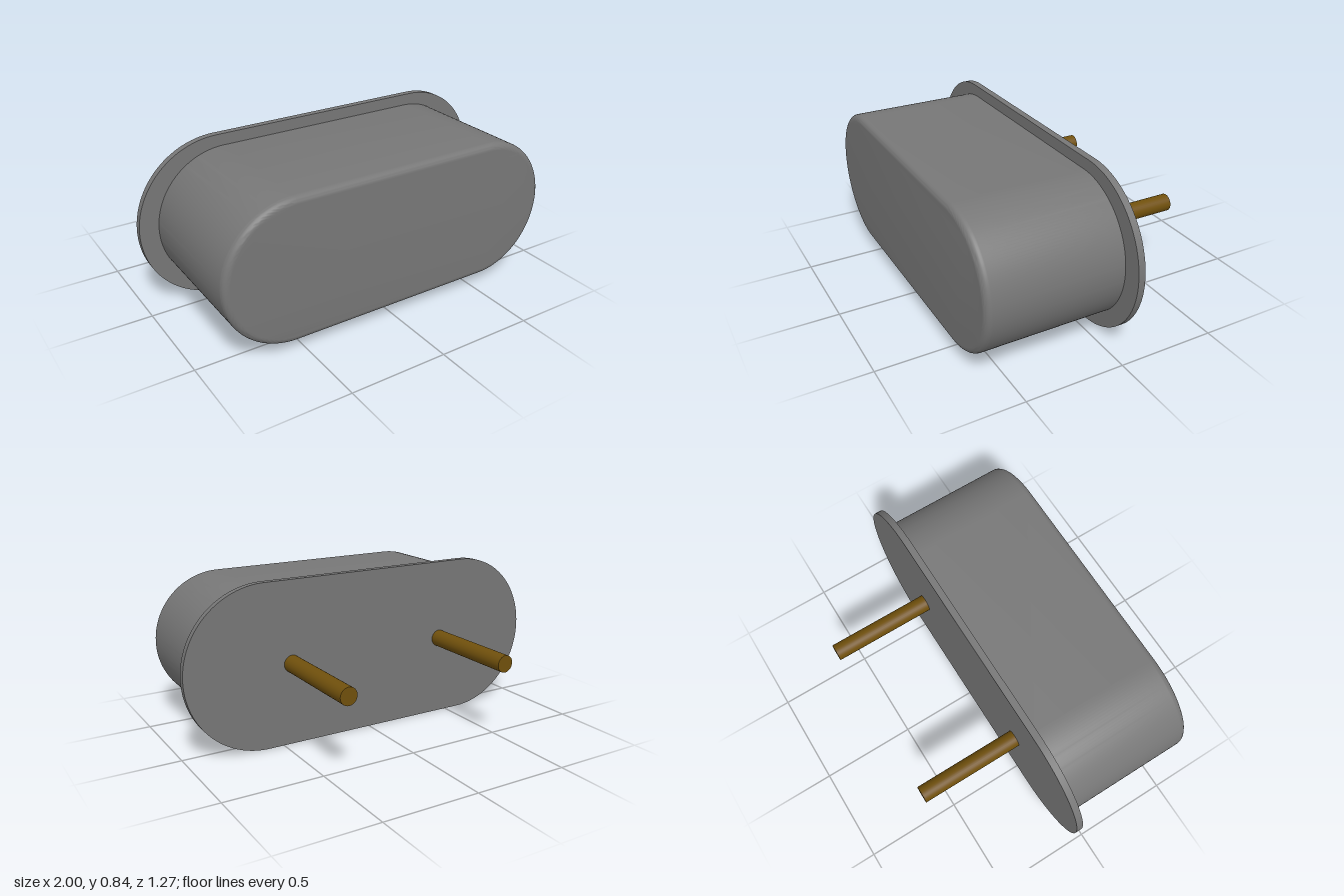
import * as THREE from 'three';
import { toCreasedNormals } from 'three/addons/utils/BufferGeometryUtils.js';

const CENTER_Y = 0.42;

// Stadium outline: two half circles joined by straight sides
function stadium(halfWidth, radius) {
  const c = halfWidth - radius;
  const s = new THREE.Shape();
  s.moveTo(-c, -radius);
  s.lineTo(c, -radius);
  s.absarc(c, 0, radius, -Math.PI / 2, Math.PI / 2, false);
  s.lineTo(-c, radius);
  s.absarc(-c, 0, radius, Math.PI / 2, Math.PI * 1.5, false);
  return s;
}

export function createModel() {
  const group = new THREE.Group();
  const metal = new THREE.MeshStandardMaterial({ color: 0x777777 });
  metal.name = 'grey metal';
  const brass = new THREE.MeshStandardMaterial({ color: 0x70500c });
  brass.name = 'dark brass';

  const add = (name, geometry, material, x, y, z) => {
    const mesh = new THREE.Mesh(geometry, material);
    mesh.name = name;
    mesh.position.set(x, y, z);
    group.add(mesh);
    return mesh;
  };

  // Can with a rounded front rim; its rear rim is buried in the flange
  const bevel = 0.033, back = -0.088, front = 0.635;
  const can = new THREE.ExtrudeGeometry(stadium(0.903, 0.361), {
    depth: front - back - 2 * bevel, curveSegments: 40,
    bevelEnabled: true, bevelThickness: bevel, bevelSize: bevel,
    bevelOffset: -bevel, bevelSegments: 8,
  });
  add('can', toCreasedNormals(can, 0.6), metal, 0, CENTER_Y, back + bevel);

  // Thin base flange
  const flange = new THREE.ExtrudeGeometry(stadium(1, 0.42), {
    depth: 0.035, curveSegments: 40, bevelEnabled: false,
  });
  add('flange', toCreasedNormals(flange, 0.6), metal, 0, CENTER_Y, -0.09);

  // Pair of lead pins pointing backwards
  for (const side of [-1, 1]) {
    const pin = add(side > 0 ? 'leftPin' : 'rightPin',
      new THREE.CylinderGeometry(0.044, 0.044, 0.565, 32), brass,
      side * 0.443, CENTER_Y, -0.3525);
    pin.rotation.x = Math.PI / 2;
  }
  return group;
}
